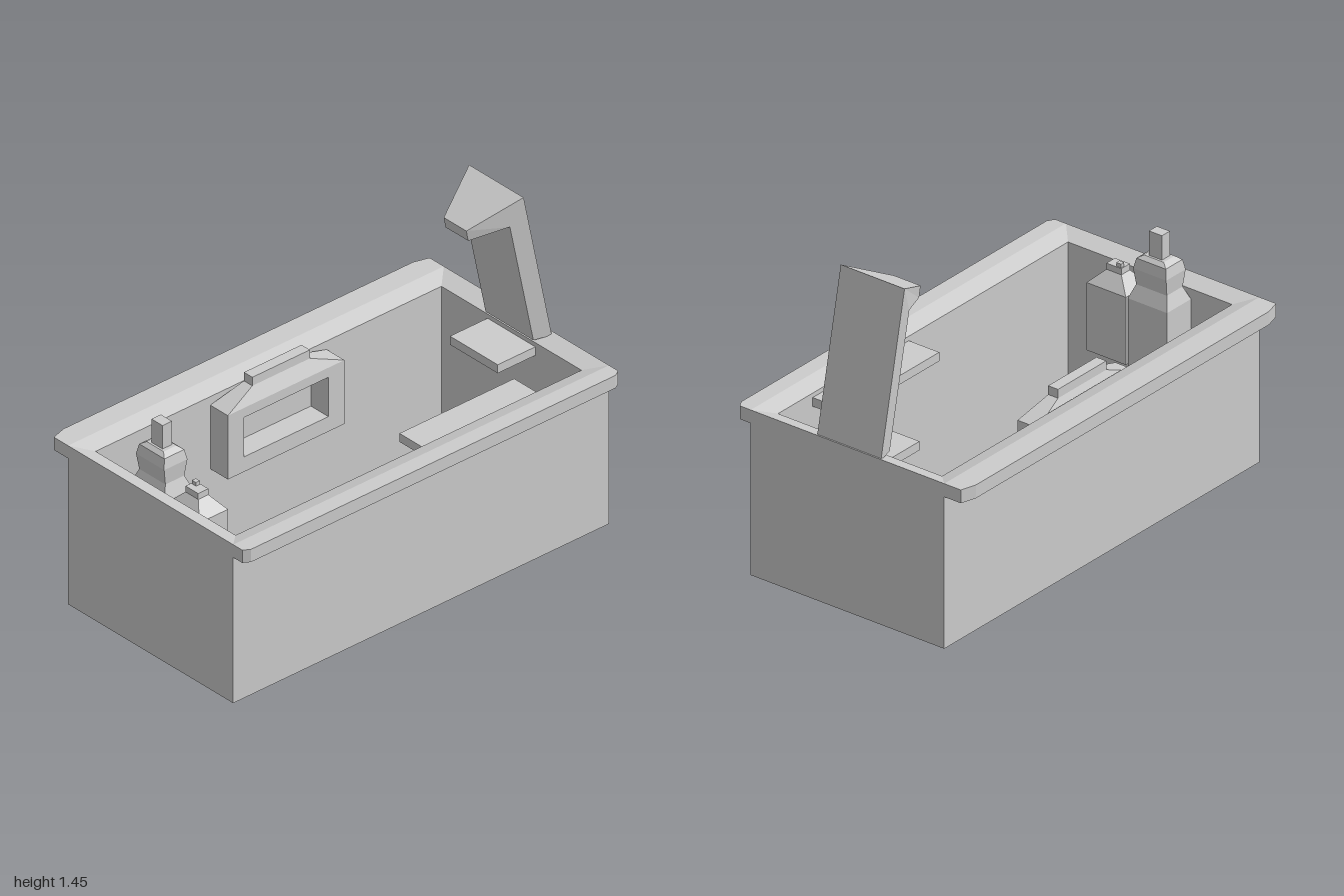
import * as THREE from 'three';

const grey = new THREE.MeshStandardMaterial({ color: 0xcccccc });
grey.name = 'plain grey';

function add(parent, name, geometry) {
  const mesh = new THREE.Mesh(geometry, grey);
  mesh.name = name;
  parent.add(mesh);
  return mesh;
}

// Four corners of a level rectangle, in the order loft expects
function rect(x0, x1, z0, z1, y) {
  return [[x0, y, z0], [x0, y, z1], [x1, y, z1], [x1, y, z0]];
}

// Rectangle given by centre and half sizes
function around(cx, cz, hx, hz, y) {
  return rect(cx - hx, cx + hx, cz - hz, cz + hz, y);
}

// Flat-shaded skin through four-cornered rings, listed from bottom to top
function loft(rings, capped = true) {
  const points = [];
  const quad = (a, b, c, d) => points.push(...a, ...b, ...c, ...a, ...c, ...d);
  for (let k = 0; k < rings.length - 1; k++) {
    for (let i = 0; i < 4; i++) {
      const j = (i + 1) % 4;
      quad(rings[k][i], rings[k][j], rings[k + 1][j], rings[k + 1][i]);
    }
  }
  if (capped) {
    quad(...[...rings[0]].reverse());
    quad(...rings[rings.length - 1]);
  }
  const geometry = new THREE.BufferGeometry();
  geometry.setAttribute('position', new THREE.Float32BufferAttribute(points, 3));
  geometry.computeVertexNormals();
  return geometry;
}

function block(x0, x1, y0, y1, z0, z1) {
  return loft([rect(x0, x1, z0, z1, y0), rect(x0, x1, z0, z1, y1)]);
}

export function createModel() {
  const group = new THREE.Group();
  group.name = 'washTub';

  // Open-bottomed walls, the top edge sloping inwards
  add(group, 'tubWalls', loft([
    rect(-0.48, 0.505, -1, 1, 0),
    rect(-0.48, 0.505, -1, 1, 0.745),
    rect(-0.405, 0.43, -0.92, 0.92, 0.72),
    rect(-0.405, 0.43, -0.92, 0.92, 0),
    rect(-0.48, 0.505, -1, 1, 0),
  ], false));

  // Overhanging rims on the long sides, with clipped corners
  for (const [name, inner, outer, cut, clip] of [
    ['leftRim', 0.505, 0.578, 0.56, 0.03],
    ['rightRim', -0.48, -0.585, -0.565, 0.07],
  ]) {
    const shape = new THREE.Shape([
      [inner, -1], [cut, -1], [outer, -1 + clip],
      [outer, 1 - clip], [cut, 1], [inner, 1],
    ].map(([x, z]) => new THREE.Vector2(x, z)));
    const rim = new THREE.ExtrudeGeometry(shape, { depth: 0.06, bevelEnabled: false });
    rim.rotateX(-Math.PI / 2).translate(0, 0.685, 0);
    add(group, name, rim);
  }

  // Leaning spout column that bends forward and narrows to the tip
  add(group, 'spout', loft([
    [[-0.15, 0.735, -0.99], [-0.13, 0.735, -0.91], [0.155, 0.735, -0.91], [0.175, 0.735, -0.99]],
    [[-0.15, 1.445, -0.84], [-0.13, 1.32, -0.785], [0.155, 1.32, -0.785], [0.175, 1.445, -0.84]],
    [[-0.055, 1.335, -0.62], [-0.055, 1.285, -0.63], [0.08, 1.285, -0.63], [0.08, 1.335, -0.62]],
  ]));

  // Ledges inside the tub
  add(group, 'backLedge', block(-0.13, 0.155, 0.66, 0.70, -0.92, -0.72));
  add(group, 'sideShelf', block(0.275, 0.43, 0.66, 0.70, -0.70, -0.09));

  // Hanging frame with a window, sloped shoulders and a grip
  const hanger = new THREE.Group();
  hanger.name = 'hangingFrame';
  group.add(hanger);
  const outline = (w, y0, y1) =>
    [[-w, y0], [w, y0], [w, y1], [-w, y1]].map(([x, y]) => new THREE.Vector2(x, y));
  const face = new THREE.Shape(outline(0.31, 0.38, 0.68));
  face.holes.push(new THREE.Path(outline(0.225, 0.45, 0.635)));
  const frame = new THREE.ExtrudeGeometry(face, { depth: 0.105, bevelEnabled: false });
  frame.rotateY(Math.PI / 2).translate(-0.405, 0, 0);
  add(hanger, 'frame', frame);
  add(hanger, 'grip', loft([
    rect(-0.405, -0.30, -0.31, 0.31, 0.68),
    rect(-0.38, -0.33, -0.153, 0.153, 0.74),
    rect(-0.38, -0.33, -0.153, 0.153, 0.78),
  ]));

  // Tall bottle: box base, bulging body and pump
  add(group, 'tallBottle', loft([
    [0.1, 0.076, 0.37], [0.1, 0.076, 0.675], [0.078, 0.05, 0.735],
    [0.084, 0.062, 0.81], [0.075, 0.053, 0.855], [0.05, 0.035, 0.87],
    [0.033, 0.025, 0.87], [0.033, 0.025, 0.98],
  ].map(([hx, hz, y]) => around(-0.097, 0.843, hx, hz, y))));

  // Short bottle: box base, sloped shoulder, cap and small nozzle
  add(group, 'shortBottle', loft([
    [0.1, 0.076, 0.37], [0.1, 0.076, 0.675], [0.038, 0.027, 0.735], [0.038, 0.027, 0.763],
  ].map(([hx, hz, y]) => around(0.113, 0.843, hx, hz, y))));
  add(group, 'nozzle', block(0.08, 0.104, 0.76, 0.78, 0.82, 0.84));

  return group;
}
